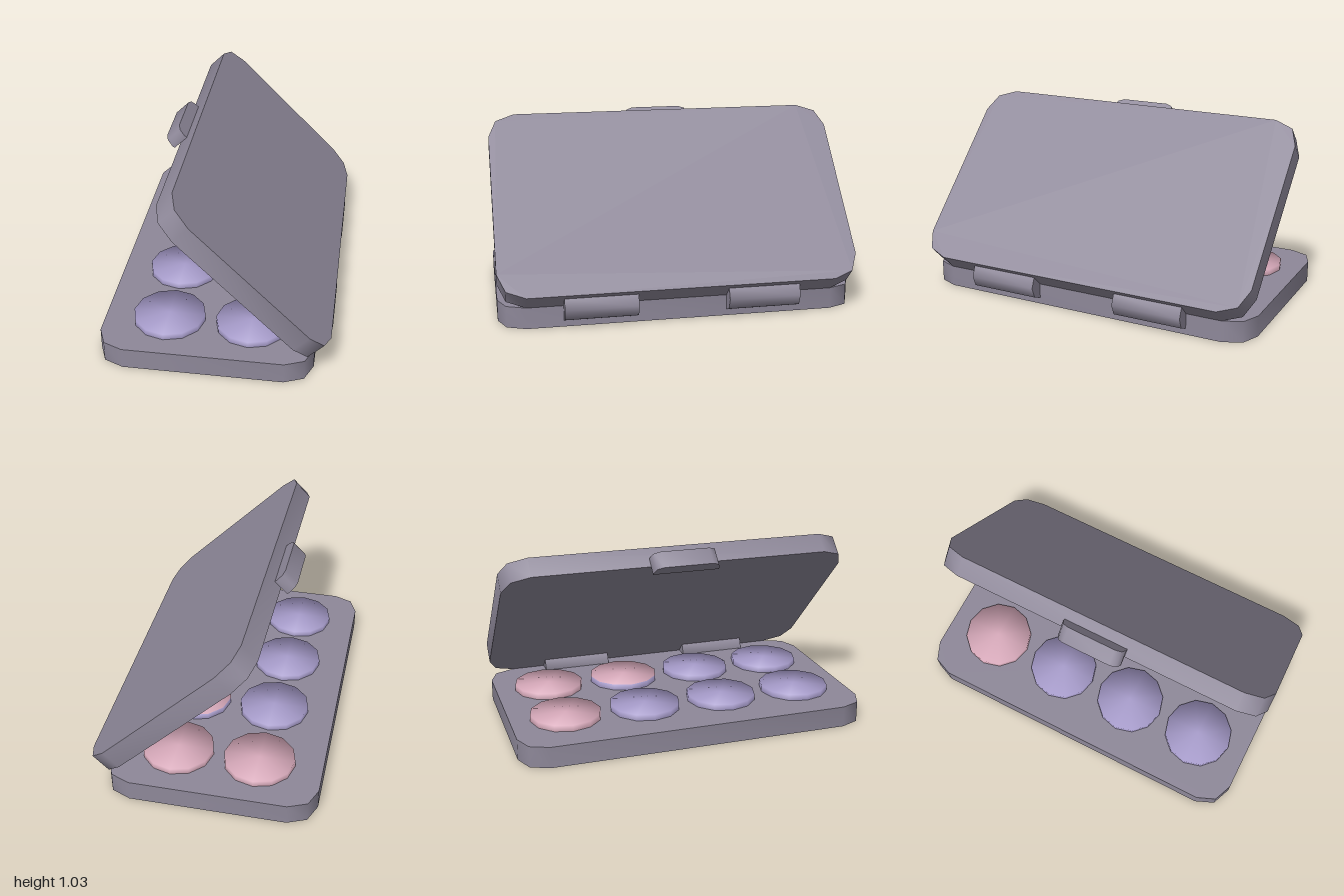
import * as THREE from 'three';
import { toCreasedNormals } from 'three/addons/utils/BufferGeometryUtils.js';

const THICK = 0.12;            // plate thickness
const LENGTH = 1.17;           // plate size from hinge edge to opening edge
const HINGE = [0.54, THICK, 0];

// Slab spanning x0..x1 and -halfZ..halfZ; the x1 corners are rounded only if asked
function roundedSlab(x0, x1, halfZ, height, radius, roundBoth) {
  const q = Math.PI / 2;
  const shape = new THREE.Shape();
  const corner = (cx, cy, start) => {
    for (let i = 0; i <= 2; i++) {
      const a = start + (i * q) / 2;
      const x = cx + radius * Math.cos(a), y = cy + radius * Math.sin(a);
      if (shape.curves.length === 0 && shape.userData.fresh) {
        shape.moveTo(x, y);
        shape.userData.fresh = false;
      } else shape.lineTo(x, y);
    }
  };
  shape.userData = { fresh: true };
  corner(x0 + radius, halfZ - radius, q);
  corner(x0 + radius, -halfZ + radius, 2 * q);
  if (roundBoth) {
    corner(x1 - radius, -halfZ + radius, 3 * q);
    corner(x1 - radius, halfZ - radius, 0);
  } else {
    shape.lineTo(x1, -halfZ);
    shape.lineTo(x1, halfZ);
  }
  shape.closePath();
  const geo = new THREE.ExtrudeGeometry(shape, { depth: height, bevelEnabled: false });
  geo.rotateX(-Math.PI / 2);
  return toCreasedNormals(geo, 0.87);
}

export function createModel() {
  const model = new THREE.Group();
  model.name = 'paletteCase';

  const material = (name, color) => {
    const m = new THREE.MeshStandardMaterial({ color });
    m.name = name;
    return m;
  };
  const casing = material('greyCasing', 0x8e8899);
  const lilac = material('lilacPowder', 0xa89dcc);
  const pink = material('pinkPowder', 0xd9abbc);

  const add = (parent, name, geo, mat, x = 0, y = 0, z = 0) => {
    const mesh = new THREE.Mesh(geo, mat);
    mesh.name = name;
    mesh.position.set(x, y, z);
    parent.add(mesh);
    return mesh;
  };

  // Base tray, and the same slab swung open as the lid
  const plate = roundedSlab(-LENGTH, 0, 1, THICK, 0.15, true);
  add(model, 'base', plate, casing, HINGE[0], 0, 0);

  const lid = new THREE.Group();
  lid.name = 'lid';
  lid.position.set(...HINGE);
  lid.rotation.z = -Math.PI / 4;
  model.add(lid);
  add(lid, 'lidPanel', plate, casing);

  // Clasp on the free edge of the lid
  const clasp = roundedSlab(-LENGTH - 0.07, -LENGTH, 0.19, 0.1, 0.05, false);
  add(lid, 'clasp', clasp, casing, 0, -0.05, 0);

  // Two hinge barrels
  const barrel = toCreasedNormals(
    new THREE.CylinderGeometry(0.085, 0.085, 0.4, 8).rotateX(Math.PI / 2), 0.87);
  for (const side of [-1, 1]) add(model, 'hinge', barrel, casing, HINGE[0], HINGE[1], side * 0.45);

  // Eight powder pans, softly shaded across the rim; geometry groups are side, top, bottom
  const pan = toCreasedNormals(new THREE.CylinderGeometry(0.2, 0.2, 0.07, 12), Math.PI);
  for (let row = 0; row < 4; row++) {
    for (let col = 0; col < 2; col++) {
      const pinkTop = row === 0 || (row === 1 && col === 1);
      const top = pinkTop ? pink : lilac;
      const wall = row === 0 ? pink : lilac;
      add(model, 'powderPan', pan, [wall, top, wall], -0.275 + col * 0.46, 0.12, -0.69 + row * 0.46);
    }
  }
  return model;
}
